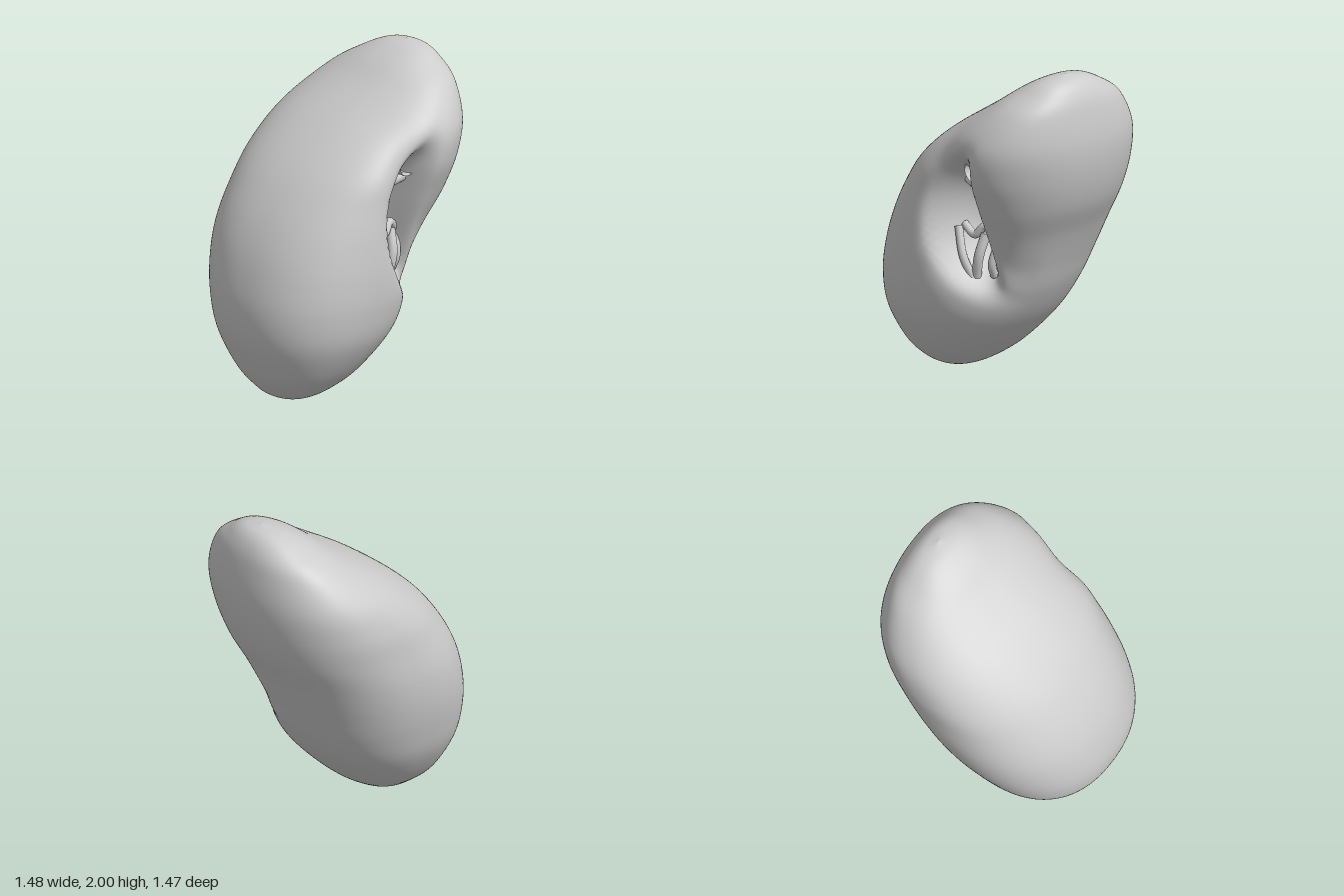
import * as THREE from 'three';

const V = (x, y, z) => new THREE.Vector3(x, y, z);

// Cross-sections from bottom pole to top pole:
// [height, centre across, centre deep, half width, half depth]
const SECTIONS = [
  [0, -0.4, 0, 0, 0],
  [0.025, -0.385, 0, 0.13, 0.14],
  [0.09, -0.36, 0, 0.235, 0.25],
  [0.2, -0.325, -0.005, 0.345, 0.37],
  [0.4, -0.27, -0.01, 0.48, 0.5],
  [0.6, -0.215, -0.02, 0.555, 0.565],
  [0.8, -0.155, -0.035, 0.585, 0.6],
  [1.0, -0.075, -0.045, 0.6, 0.615],
  [1.2, 0.035, -0.04, 0.6, 0.62],
  [1.4, 0.15, -0.025, 0.55, 0.625],
  [1.6, 0.285, -0.01, 0.44, 0.58],
  [1.8, 0.43, 0.005, 0.275, 0.435],
  [1.91, 0.49, 0.014, 0.18, 0.28],
  [1.975, 0.525, 0.025, 0.09, 0.15],
  [2.0, 0.537, 0.03, 0, 0],
];

// Depth of the notch on the +z side: a broad slanting groove plus a steep,
// crescent-shaped inner cavity
function notch(x, y) {
  const gx = (x - 0.12) / (x < 0.12 ? 0.2 : 0.26);
  const gy = y - 1.05 + 0.7 * (x - 0.05);
  const broad = gx ** 2 + (gy / (gy > 0 ? 0.5 : 0.33)) ** 2;
  const cx = 0.06 + 0.7 * (y - 1.07) ** 2;
  const deep = ((x - cx) / 0.13) ** 2 + ((y - 1.07) / 0.38) ** 2;
  return 0.15 * Math.exp(-broad) + 0.28 * Math.exp(-deep * deep);
}

// Slightly squared-off sine or cosine for the section outline
const squared = v => Math.sign(v) * Math.abs(v) ** (2 / 2.25);

function bodyGeometry(rows = 100, cols = 128) {
  const centres = new THREE.CatmullRomCurve3(SECTIONS.map(s => V(s[1], s[0], s[2])), false, 'catmullrom');
  const radii = new THREE.CatmullRomCurve3(SECTIONS.map(s => V(s[3], s[0], s[4])), false, 'catmullrom');
  const positions = [], index = [];
  for (let i = 0; i <= rows; i++) {
    const c = centres.getPoint(i / rows), r = radii.getPoint(i / rows);
    for (let j = 0; j < cols; j++) {
      const a = (j / cols) * Math.PI * 2;
      const x = c.x + r.x * squared(Math.cos(a));
      let z = c.z + r.z * squared(Math.sin(a));
      z -= notch(x, c.y) * THREE.MathUtils.smoothstep(z, 0, 0.25);
      positions.push(x, c.y, z);
      if (i < rows) {
        const p = i * cols + j, q = i * cols + (j + 1) % cols;
        if (i < rows - 1) index.push(p, p + cols, q + cols);
        if (i > 0) index.push(p, q + cols, q);
      }
    }
  }
  const g = new THREE.BufferGeometry();
  g.setAttribute('position', new THREE.Float32BufferAttribute(positions, 3));
  g.setIndex(index);
  g.computeVertexNormals();
  return g;
}

export function createModel() {
  const material = new THREE.MeshStandardMaterial({ color: 0xcccccc });
  const thin = new THREE.MeshStandardMaterial({ color: 0xcccccc, side: THREE.DoubleSide });
  const group = new THREE.Group();

  // Everything is modelled facing +z, then turned to face front-left
  const organ = new THREE.Group();
  organ.name = 'organ';
  organ.rotation.y = Math.PI / 4;
  group.add(organ);

  const body = new THREE.Mesh(bodyGeometry(), material);
  body.name = 'body';
  organ.add(body);

  // Open vessel stub and strands of tissue inside the notch
  const strands = [
    ['upperVessel', 0.07, [[0.15, 1.41, 0.22], [0.16, 1.4, 0.32], [0.165, 1.39, 0.42]]],
    ['bridgeStrand', 0.035, [[0.0, 1.3, 0.3], [0.1, 1.29, 0.33], [0.24, 1.32, 0.34]]],
    ['middleFold', 0.025, [[-0.03, 1.0, 0.3], [0.07, 0.96, 0.31], [0.13, 1.02, 0.29], [0.2, 0.97, 0.26]]],
    ['frontStrand', 0.025, [[0.08, 0.7, 0.34], [0.03, 0.83, 0.37], [-0.03, 1.0, 0.35]]],
    ['slantedStrand', 0.03, [[0.09, 0.71, 0.32], [0.12, 0.84, 0.33], [0.14, 0.98, 0.29]]],
    ['rearStrand', 0.025, [[0.18, 0.72, 0.26], [0.19, 0.8, 0.29], [0.21, 0.92, 0.26]]],
  ];
  for (const [name, radius, path] of strands) {
    const curve = new THREE.CatmullRomCurve3(path.map(p => V(...p)));
    const mesh = new THREE.Mesh(new THREE.TubeGeometry(curve, 16, radius, 12), thin);
    mesh.name = name;
    organ.add(mesh);
  }
  return group;
}
